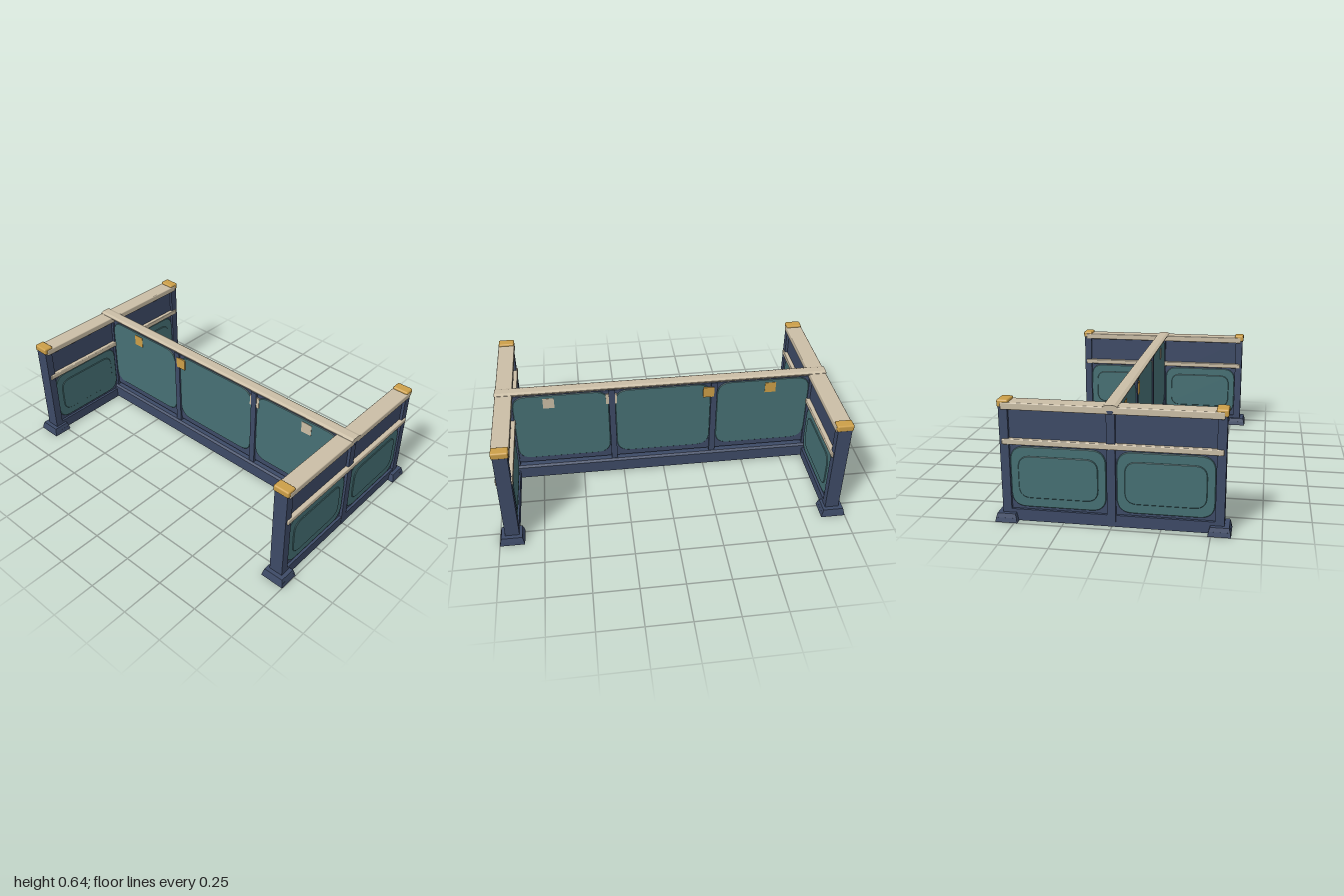
import * as THREE from 'three';
import { RoundedBoxGeometry } from 'three/addons/geometries/RoundedBoxGeometry.js';

const material = (name, color) => {
  const m = new THREE.MeshStandardMaterial({ color });
  m.name = name;
  return m;
};

export function createModel() {
  const navy = material('navy frame', 0x3d4a66);
  const teal = material('teal panel', 0x467074);
  const cream = material('cream rail', 0xcbbea6);
  const amber = material('amber cap', 0xcc9f48);
  const model = new THREE.Group();
  model.name = 'partition';

  const add = (parent, name, geometry, mat, x = 0, y = 0, z = 0) => {
    const mesh = new THREE.Mesh(geometry, mat);
    mesh.name = name;
    mesh.position.set(x, y, z);
    parent.add(mesh);
    return mesh;
  };
  // Box given by its lower and upper corners, optionally with softened edges
  const span = (parent, name, mat, a, b, radius = 0) => {
    const s = b.map((v, i) => v - a[i]);
    const c = b.map((v, i) => (v + a[i]) / 2);
    const geo = radius ? new RoundedBoxGeometry(...s, 2, radius) : new THREE.BoxGeometry(...s);
    return add(parent, name, geo, mat, ...c);
  };
  // Box whose top face is drawn in on all sides
  const taperedBox = (w, h, d, inset) => {
    const geo = new THREE.BoxGeometry(w, h, d).toNonIndexed();
    const p = geo.attributes.position;
    for (let i = 0; i < p.count; i++) {
      if (p.getY(i) > 0) {
        p.setX(i, p.getX(i) - Math.sign(p.getX(i)) * inset);
        p.setZ(i, p.getZ(i) - Math.sign(p.getZ(i)) * inset);
      }
    }
    geo.computeVertexNormals();
    return geo;
  };
  // Rounded plate lying in the xy plane, with a small bevel, centred in depth
  const plate = (w, h, r, depth) => {
    const bevel = 0.003, x = w / 2 - bevel, y = h / 2 - bevel;
    const s = new THREE.Shape();
    s.moveTo(-x + r, -y).lineTo(x - r, -y).quadraticCurveTo(x, -y, x, -y + r);
    s.lineTo(x, y - r).quadraticCurveTo(x, y, x - r, y);
    s.lineTo(-x + r, y).quadraticCurveTo(-x, y, -x, y - r);
    s.lineTo(-x, -y + r).quadraticCurveTo(-x, -y, -x + r, -y);
    const geo = new THREE.ExtrudeGeometry(s, {
      depth: depth - 2 * bevel, bevelThickness: bevel, bevelSize: bevel,
      bevelSegments: 1, curveSegments: 8,
    });
    return geo.translate(0, 0, bevel - depth / 2);
  };
  // Profile in (z, y) run along x between -length/2 and length/2
  const alongX = (points, length) => {
    const s = new THREE.Shape(points.map(([z, y]) => new THREE.Vector2(-z, y)));
    return new THREE.ExtrudeGeometry(s, { depth: length, bevelEnabled: false })
      .translate(0, 0, -length / 2).rotateY(Math.PI / 2);
  };

  // End walls
  for (const side of [-1, 1]) {
    const wall = new THREE.Group();
    wall.name = side > 0 ? 'leftWall' : 'rightWall';
    wall.position.x = side * 0.927;
    model.add(wall);

    span(wall, 'wallBoard', navy, [-0.024, 0.05, -0.53], [0.024, 0.6, 0.53]);
    span(wall, 'bottomRail', navy, [-0.039, 0.003, -0.53], [0.039, 0.065, 0.53]);
    span(wall, 'centrePost', navy, [-0.041, 0.004, -0.022], [0.041, 0.6, 0.022]);
    span(wall, 'middleRail', cream, [-0.048, 0.412, -0.553], [0.048, 0.442, 0.553], 0.005);
    span(wall, 'topRail', cream, [-0.049, 0.593, -0.553], [0.049, 0.631, 0.553], 0.006);

    for (const end of [-1, 1]) {
      add(wall, 'post', new THREE.BoxGeometry(0.08, 0.608, 0.046), navy, 0, 0.306, end * 0.542);
      add(wall, 'foot', taperedBox(0.14, 0.024, 0.116, 0.007), navy, 0.003 * side, 0.034, end * 0.542)
        .scale.set(0.93, 1, 0.93);
      add(wall, 'footBase', taperedBox(0.14, 0.024, 0.116, 0.005), navy, 0.003 * side, 0.012, end * 0.542);
      add(wall, 'cap', new RoundedBoxGeometry(0.094, 0.039, 0.06, 2, 0.009), amber, 0, 0.6245, end * 0.541);
      // Infill panels, shown on both faces
      add(wall, 'panel', plate(0.49, 0.322, 0.075, 0.064), teal, 0, 0.24, end * 0.272)
        .rotation.y = Math.PI / 2;
      add(wall, 'panelField', plate(0.41, 0.224, 0.06, 0.074), teal, 0, 0.24, end * 0.272)
        .rotation.y = Math.PI / 2;
    }
  }

  // Long middle wall
  const middle = new THREE.Group();
  middle.name = 'middleWall';
  model.add(middle);
  add(middle, 'floorBeam', alongX([
    [-0.036, 0.01], [0.036, 0.01], [0.036, 0.085], [0.026, 0.098], [-0.026, 0.098], [-0.036, 0.085],
  ], 1.8), navy);
  span(middle, 'board', navy, [-0.9, 0.113, -0.011], [0.9, 0.606, 0.011]);
  add(middle, 'handrail', alongX([
    [-0.02, 0.612], [0.02, 0.612], [0.037, 0.628], [0.037, 0.633],
    [0.02, 0.64], [-0.02, 0.64], [-0.037, 0.633], [-0.037, 0.628],
  ], 1.956), cream);
  add(middle, 'handrailSupport', alongX([
    [-0.01, 0.594], [0.01, 0.594], [0.019, 0.613], [-0.019, 0.613],
  ], 1.954), navy);
  for (const x of [-0.305, 0.305]) {
    span(middle, 'divider', navy, [x - 0.018, 0.09, -0.023], [x + 0.018, 0.608, 0.023]);
  }
  for (const [x, w] of [[-0.606, 0.562], [0, 0.572], [0.606, 0.562]]) {
    add(middle, 'panel', plate(w, 0.452, 0.08, 0.034), teal, x, 0.375, 0);
  }

  // Paper notes on both faces
  for (const [x, mat, out] of [
    [-0.648, amber, 0.019], [-0.272, amber, 0.025], [0.308, cream, 0.019], [0.676, cream, 0.019],
  ]) {
    for (const face of [-1, 1]) {
      add(middle, 'note', new THREE.BoxGeometry(0.066, 0.068, 0.008), mat, x, 0.546, face * (out - 0.004));
    }
  }
  return model;
}
